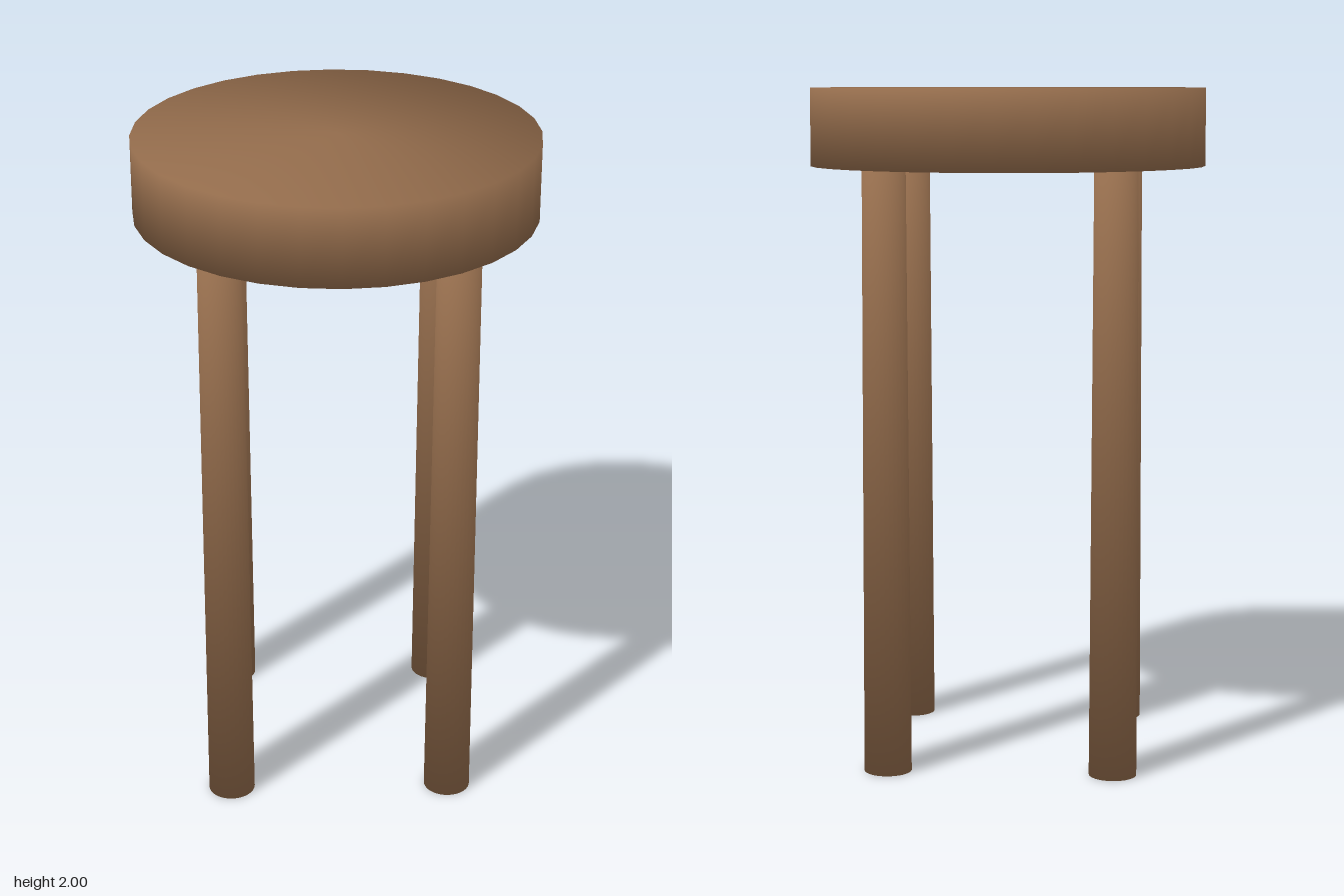
import * as THREE from 'three';

// Cylinder whose normals roll softly over the rims, for a rounded look
function softCylinder(topRadius, bottomRadius, height, sides) {
  const geometry = new THREE.CylinderGeometry(topRadius, bottomRadius, height, sides);
  const { position, normal } = geometry.attributes;
  for (let i = 0; i < position.count; i++) {
    const y = position.getY(i);
    const radius = y > 0 ? topRadius : bottomRadius;
    normal.setXYZ(
      i,
      (position.getX(i) / radius) * Math.SQRT1_2,
      Math.sign(y) * Math.SQRT1_2,
      (position.getZ(i) / radius) * Math.SQRT1_2
    );
  }
  return geometry;
}

export function createModel() {
  const wood = new THREE.MeshStandardMaterial({ color: 0x926b4b });
  wood.name = 'brown wood';

  const stool = new THREE.Group();
  stool.name = 'stool';

  // Thick round seat
  const seatBottom = 1.77;
  const seatHeight = 2 - seatBottom;
  const seat = new THREE.Mesh(softCylinder(0.587, 0.587, seatHeight, 32), wood);
  seat.name = 'seat';
  seat.position.y = seatBottom + seatHeight / 2;
  stool.add(seat);

  // Four straight legs, slightly thicker at the foot
  const legGeometry = softCylinder(0.063, 0.07, seatBottom, 32);
  for (const [side, x] of [['Left', 1], ['Right', -1]]) {
    for (const [end, z] of [['front', 1], ['back', -1]]) {
      const leg = new THREE.Mesh(legGeometry, wood);
      leg.name = `${end}${side}Leg`;
      leg.position.set(x * 0.332, seatBottom / 2, z * 0.332);
      stool.add(leg);
    }
  }

  return stool;
}
